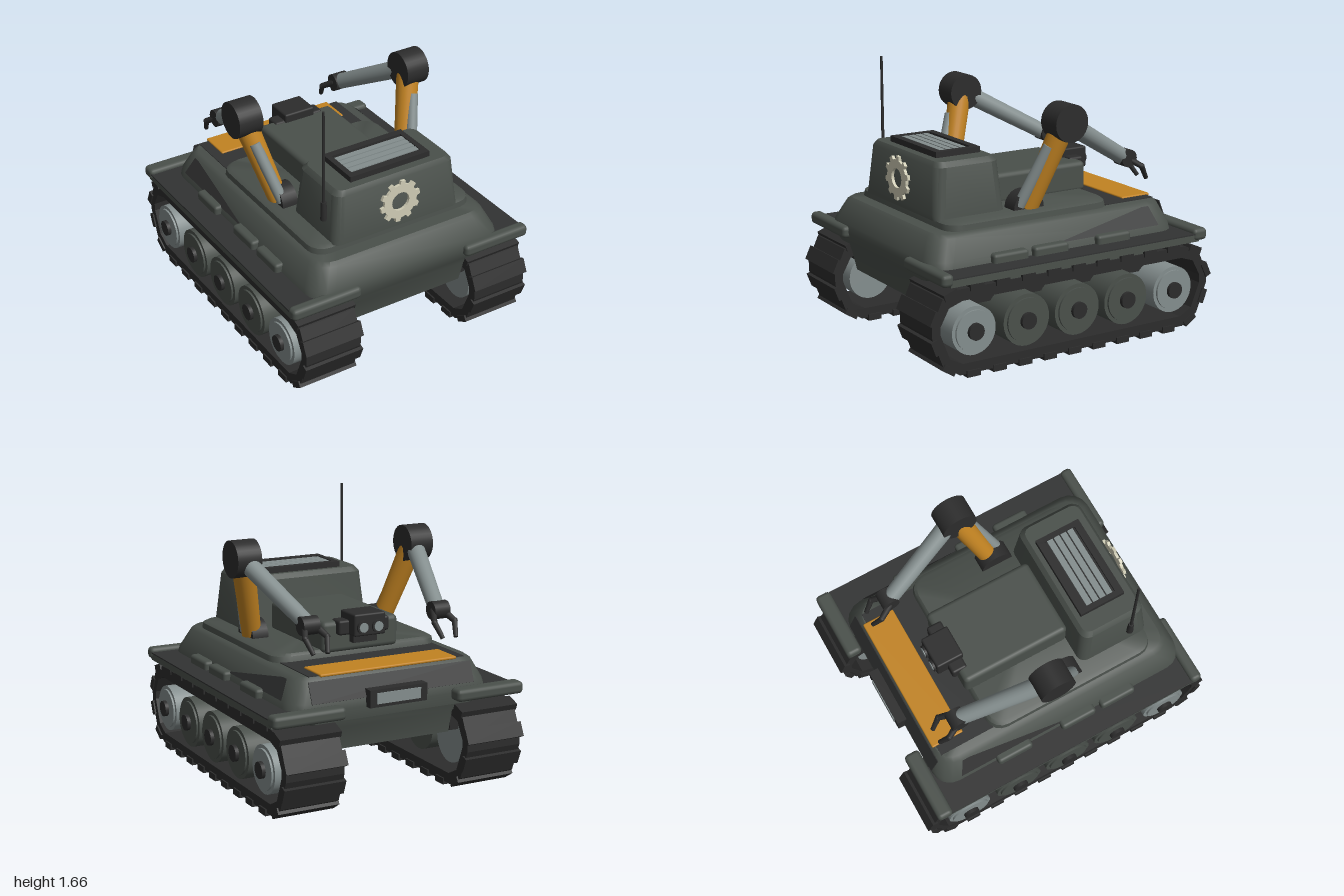
import * as THREE from 'three';
import { toCreasedNormals } from 'three/addons/utils/BufferGeometryUtils.js';
import { RoundedBoxGeometry } from 'three/addons/geometries/RoundedBoxGeometry.js';

const mat = (name, color, side = THREE.FrontSide) => {
  const m = new THREE.MeshStandardMaterial({ color, side });
  m.name = name;
  return m;
};

export function createModel() {
  const green = mat('armour green', 0x4a504b);
  const dark = mat('black rubber', 0x2c2c2c);
  const deckMat = mat('deck charcoal', 0x323333, THREE.DoubleSide);
  const orange = mat('orange', 0xc28322);
  const steel = mat('steel grey', 0x848e8e);
  const cream = mat('cream', 0xcfccb5);

  const root = new THREE.Group();
  root.name = 'trackedRobot';
  const V = (x, y, z) => new THREE.Vector3(x, y, z);
  const add = (name, geo, m, x = 0, y = 0, z = 0, parent = root) => {
    const mesh = new THREE.Mesh(geo, m);
    mesh.name = name;
    mesh.position.set(x, y, z);
    parent.add(mesh);
    return mesh;
  };
  // Box from min / max extents, optionally rounded
  const box = (name, m, [x0, x1], [y0, y1], [z0, z1], r = 0, parent = root) => {
    const w = Math.abs(x1 - x0), h = y1 - y0, d = z1 - z0;
    const geo = r ? new RoundedBoxGeometry(w, h, d, 2, r) : new THREE.BoxGeometry(w, h, d);
    return add(name, geo, m, (x0 + x1) / 2, (y0 + y1) / 2, (z0 + z1) / 2, parent);
  };
  // Cylinder between two points
  const rod = (name, m, a, b, r0, r1, parent = root, sides = 24) => {
    const mesh = add(name, new THREE.CylinderGeometry(r1, r0, a.distanceTo(b), sides), m, 0, 0, 0, parent);
    mesh.position.copy(a).add(b).multiplyScalar(0.5);
    mesh.quaternion.setFromUnitVectors(V(0, 1, 0), b.clone().sub(a).normalize());
    return mesh;
  };
  // Stack of rounded rectangles: [y, halfWidth, zFront, zBack, cornerRadius]
  const loft = (sections) => {
    const N = 5, rings = sections.map(([y, hx, zf, zb, r]) => {
      const pts = [];
      [[1, 1], [-1, 1], [-1, -1], [1, -1]].forEach(([sx, sz], q) => {
        for (let i = 0; i < N; i++) {
          const a = (q + i / (N - 1)) * Math.PI / 2;
          pts.push(V(sx * (hx - r) + r * Math.cos(a), y, (sz > 0 ? zf - r : zb + r) + r * Math.sin(a)));
        }
      });
      return pts;
    });
    const out = [], tri = (...ps) => ps.forEach((p) => out.push(p.x, p.y, p.z)), n = rings[0].length;
    const last = rings[rings.length - 1];
    for (let i = 0; i < n; i++) {
      const j = (i + 1) % n;
      for (let k = 0; k + 1 < rings.length; k++) {
        const [lo, hi] = [rings[k], rings[k + 1]];
        tri(lo[i], hi[i], hi[j]);
        tri(lo[i], hi[j], lo[j]);
      }
      const mid = (ring, s) => V(0, ring[0].y, (sections[s][2] + sections[s][3]) / 2);
      tri(mid(last, sections.length - 1), last[j], last[i]);
      tri(mid(rings[0], 0), rings[0][i], rings[0][j]);
    }
    const g = new THREE.BufferGeometry();
    g.setAttribute('position', new THREE.Float32BufferAttribute(out, 3));
    return toCreasedNormals(g, 0.6);
  };

  // Hull, superstructure and turret
  add('hull', loft([
    [0.355, 0.4, 0.84, -0.8, 0.02], [0.49, 0.41, 0.87, -0.82, 0.02], [0.53, 0.57, 0.88, -0.83, 0.06],
    [0.6, 0.67, 0.9, -0.835, 0.12], [0.65, 0.66, 0.895, -0.83, 0.13],
    [0.77, 0.6, 0.835, -0.78, 0.12], [0.79, 0.57, 0.81, -0.76, 0.1]]), green);
  add('superstructure', loft([
    [0.785, 0.56, 0.73, -0.41, 0.1], [0.825, 0.555, 0.725, -0.4, 0.1], [0.84, 0.53, 0.7, -0.385, 0.09]]), green);
  add('turret', loft([
    [0.83, 0.44, 0.745, 0.27, 0.05], [0.86, 0.438, 0.745, 0.272, 0.06],
    [1.135, 0.41, 0.72, 0.295, 0.06], [1.165, 0.385, 0.7, 0.32, 0.05]]), green);
  box('equipmentBox', green, [-0.255, 0.255], [0.82, 1.01], [-0.43, 0.28], 0.03);

  // Turret vent with slats
  box('ventBase', dark, [-0.275, 0.275], [1.15, 1.185], [0.35, 0.65]);
  for (const s of [-1, 1]) {
    box('ventFrameSide', dark, [s * 0.24, s * 0.275], [1.18, 1.2], [0.35, 0.65]);
    box('ventFrameEnd', dark, [-0.275, 0.275], [1.18, 1.2], s < 0 ? [0.35, 0.395] : [0.605, 0.65]);
  }
  for (let i = 0; i < 4; i++) {
    const z = 0.43 + i * 0.047;
    box('ventSlat', steel, [-0.24, 0.24], [1.183, 1.195], [z - 0.019, z + 0.019]);
  }

  // Toothed ring on the turret front
  const gear = new THREE.Shape();
  for (let i = 0; i < 10; i++) {
    [[-0.5, 0.113], [-0.26, 0.113], [-0.18, 0.137], [0.18, 0.137], [0.26, 0.113]].forEach(([o, r], k) => {
      const a = (i + o) * Math.PI / 5 + 0.2;
      gear[i + k ? 'lineTo' : 'moveTo'](r * Math.cos(a), r * Math.sin(a));
    });
  }
  gear.holes.push(new THREE.Path().absarc(0, 0, 0.06, 0, Math.PI * 2, true));
  add('toothedRing', new THREE.ExtrudeGeometry(gear, { depth: 0.018, bevelEnabled: false }), cream, 0, 1.005, 0.745);

  // Antenna
  rod('antenna', dark, V(-0.435, 0.98, 0.615), V(-0.435, 1.66, 0.615), 0.01, 0.008, root, 10);
  rod('antennaBase', dark, V(-0.43, 0.95, 0.615), V(-0.435, 1.07, 0.615), 0.024, 0.016, root, 12);

  // Rear deck: dark panels, orange hatch, lamp
  box('rearDeck', deckMat, [-0.52, 0.52], [0.786, 0.794], [-0.75, -0.39]);
  const back = box('rearSlopePanel', deckMat, [-0.54, 0.54], [0.645, 0.775], [-0.813, -0.807]);
  back.rotation.x = 0.395;
  box('hatch', orange, [-0.455, 0.455], [0.785, 0.803], [-0.775, -0.565], 0.008);
  box('lampHousing', dark, [-0.19, 0.19], [0.595, 0.7], [-0.88, -0.79]);
  box('lampGlass', steel, [-0.145, 0.145], [0.615, 0.68], [-0.886, -0.878]);

  // Twin camera
  box('cameraMount', dark, [-0.08, 0.08], [0.88, 0.96], [-0.48, -0.42]);
  box('cameraHood', dark, [-0.17, 0.17], [0.93, 1.02], [-0.47, -0.37], 0.015);
  box('cameraBody', dark, [-0.105, 0.105], [0.93, 1.065], [-0.54, -0.36], 0.012);
  for (const s of [-1, 1]) {
    rod('lensBarrel', dark, V(s * 0.05, 0.985, -0.53), V(s * 0.05, 0.985, -0.553), 0.04, 0.04);
    rod('lens', steel, V(s * 0.05, 0.985, -0.55), V(s * 0.05, 0.985, -0.558), 0.029, 0.029);
  }

  // Track loop in (z, y): outer line and a smaller inner line
  const half = [[0.8, 0.02], [0.91, 0.09], [0.98, 0.27], [0.98, 0.34], [0.91, 0.49], [0.8, 0.53]];
  const inner = [[0.78, 0.085], [0.865, 0.13], [0.925, 0.28], [0.925, 0.33], [0.87, 0.43], [0.78, 0.46]];
  const loop = (h) => [...h, ...h.map(([z, y]) => [-z, y]).reverse()].map(([z, y]) => new THREE.Vector2(z, y));
  const beltShape = new THREE.Shape(loop(half));
  beltShape.holes.push(new THREE.Path(loop(inner)));
  const beltGeo = new THREE.ExtrudeGeometry(beltShape, { depth: 0.37, bevelEnabled: false });
  beltGeo.rotateY(-Math.PI / 2).translate(0.185, 0, 0);
  const path = new THREE.CurvePath();
  loop(half).forEach((p, i, a) => path.add(new THREE.LineCurve(p, a[(i + 1) % a.length])));
  const cleatGeo = new THREE.BoxGeometry(0.39, 0.04, 0.09);

  for (const s of [-1, 1]) {
    const side = new THREE.Group();
    side.name = s > 0 ? 'leftSide' : 'rightSide';
    root.add(side);
    const P = (x, y, z) => V(s * x, y, z);
    const X = (a, b) => [s * a, s * b];

    // Track, cleats and wheels
    add('trackBelt', beltGeo, dark, s * 0.595, 0, 0, side);
    const count = 26;
    for (let i = 0; i < count; i++) {
      const t = (i + 0.5) / count, p = path.getPoint(t);
      const d = path.getPoint((t + 0.004) % 1).sub(path.getPoint(t - 0.004));
      add('trackCleat', cleatGeo, dark, s * 0.595, p.y, p.x, side).rotation.x = Math.atan2(-d.y, d.x);
    }
    box('trackFrame', dark, X(0.4, 0.6), [0.36, 0.5], [-0.8, 0.8], 0, side);
    for (let i = -2; i <= 2; i++) {
      const end = Math.abs(i) === 2, z = i * 0.355, r = end ? 0.145 : 0.157;
      rod('wheel', end ? steel : green, P(0.46, 0.273, z), P(0.785, 0.273, z), r, r, side, 36);
      rod('wheelFace', end ? steel : green, P(0.78, 0.273, z), P(0.797, 0.273, z), r * 0.85, r * 0.85, side, 36);
      rod('wheelHub', dark, P(0.5, 0.273, z), P(0.82, 0.273, z), 0.05, 0.05, side);
    }

    // Fender with flaps and side blisters
    box('fender', green, X(0.5, 0.82), [0.56, 0.605], [-0.88, 0.88], 0, side);
    box('fenderTop', deckMat, X(0.5, 0.825), [0.604, 0.612], [-0.86, 0.88], 0, side);
    box('frontFlap', green, X(0.37, 0.83), [0.565, 0.64], [0.86, 0.935], 0.025, side);
    box('rearFlap', green, X(0.37, 0.83), [0.565, 0.64], [-0.94, -0.84], 0.025, side);
    box('skirtStrip', green, X(0.6, 0.77), [0.525, 0.565], [-0.53, 0.53], 0, side);
    for (const z of [-0.33, 0.12, 0.4])
      box('sideBlister', green, X(0.62, 0.705), [0.59, 0.665], [z - 0.12, z + 0.12], 0.02, side);

    // Dark wedge on the sloping hull side
    const wedge = new THREE.ShapeGeometry(new THREE.Shape(
      [[0.06, 0.655], [-0.6, 0.768], [-0.65, 0.768], [-0.69, 0.655]].map(([z, y]) => new THREE.Vector2(z, y))));
    const pos = wedge.attributes.position;
    for (let i = 0; i < pos.count; i++) {
      const z = pos.getX(i), y = pos.getY(i);
      pos.setXYZ(i, s * (0.665 - (y - 0.65) * 0.5), y, z);
    }
    wedge.computeVertexNormals();
    add('sideWedge', wedge, deckMat, 0, 0, 0, side);

    // Arm: shoulder, upper arm, piston, elbow, forearm
    const arm = new THREE.Group();
    arm.name = 'arm';
    side.add(arm);
    const elbow = P(0.59, 1.36, -0.035), wrist = P(0.435, 1.055, -0.575);
    rod('shoulder', dark, P(0.385, 0.84, 0.145), P(0.49, 0.84, 0.145), 0.105, 0.105, arm);
    rod('upperArm', orange, P(0.455, 0.84, 0.13), elbow, 0.06, 0.072, arm);
    rod('piston', steel, P(0.465, 0.86, 0.2), P(0.565, 1.22, 0.055), 0.035, 0.035, arm);
    rod('elbow', dark, P(0.512, 1.36, -0.035), P(0.668, 1.36, -0.035), 0.113, 0.113, arm, 32);
    rod('forearm', steel, elbow, wrist, 0.058, 0.05, arm);

    // Wrist and two-finger gripper
    rod('wrist', dark, P(0.385, 1.05, -0.59), P(0.49, 1.05, -0.59), 0.055, 0.055, arm);
    for (const f of [-1, 1]) {
      const a = P(0.43 + f * 0.03, 1.05, -0.59), b = P(0.43 + f * 0.07, 0.995, -0.675), c = P(0.43 + f * 0.045, 0.91, -0.73);
      rod('fingerBase', dark, a, b, 0.022, 0.018, arm, 8);
      rod('fingerTip', dark, b, c, 0.018, 0.014, arm, 8);
      add('fingerJoint', new THREE.SphereGeometry(0.019, 10, 8), dark, b.x, b.y, b.z, arm);
    }
  }
  return root;
}
